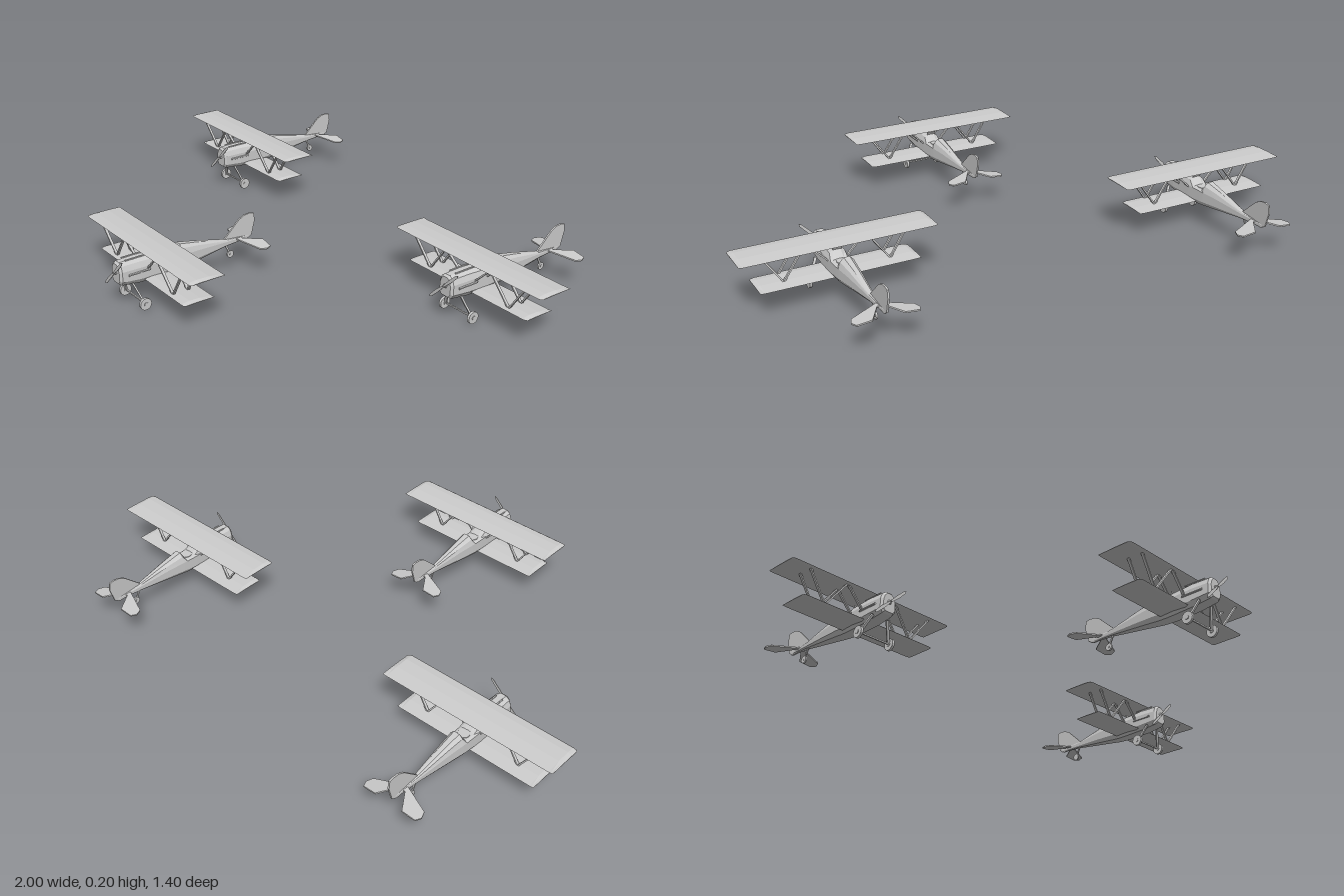
import * as THREE from 'three';

const mat = new THREE.MeshStandardMaterial({ color: 0xcccccc, flatShading: true, side: THREE.DoubleSide });

function add(parent, name, geometry, x = 0, y = 0, z = 0) {
  const mesh = new THREE.Mesh(geometry, mat);
  mesh.name = name;
  mesh.position.set(x, y, z);
  parent.add(mesh);
  return mesh;
}

// Skin through equal-length rings; rings run counterclockwise, from +z to -z
function loft(rings) {
  const pos = [], n = rings[0].length;
  const tri = (...p) => p.forEach((v) => pos.push(v.x, v.y, v.z));
  const cap = (ring, flip) => {
    const c = ring.reduce((s, v) => s.add(v), new THREE.Vector3()).divideScalar(n);
    ring.forEach((v, j) => {
      const w = ring[(j + 1) % n];
      flip ? tri(c, w, v) : tri(c, v, w);
    });
  };
  for (let i = 0; i < rings.length - 1; i++) {
    for (let j = 0; j < n; j++) {
      const k = (j + 1) % n;
      const a = rings[i][j], b = rings[i][k], c = rings[i + 1][k], d = rings[i + 1][j];
      tri(a, d, b);
      tri(d, c, b);
    }
  }
  cap(rings[0], false);
  cap(rings[rings.length - 1], true);
  const g = new THREE.BufferGeometry();
  g.setAttribute('position', new THREE.Float32BufferAttribute(pos, 3));
  g.computeVertexNormals();
  return g;
}

// Straight bar between two points
function beam(parent, name, a, b, width, depth) {
  const p = new THREE.Vector3(...a), q = new THREE.Vector3(...b);
  const mesh = add(parent, name, new THREE.BoxGeometry(width, p.distanceTo(q), depth));
  mesh.position.copy(p).add(q).multiplyScalar(0.5);
  mesh.quaternion.setFromUnitVectors(new THREE.Vector3(0, 1, 0), q.sub(p).normalize());
  return mesh;
}

function plate(points, depth) {
  const shape = new THREE.Shape(points.map(([x, y]) => new THREE.Vector2(x, y)));
  return new THREE.ExtrudeGeometry(shape, { depth, bevelEnabled: false }).translate(0, 0, -depth / 2);
}

function fuselage() {
  // z, half width, bottom, shoulder, top
  const stations = [
    [-0.010, 0.024, 0.094, 0.134, 0.160],
    [-0.018, 0.031, 0.088, 0.138, 0.167],
    [-0.085, 0.034, 0.080, 0.138, 0.168],
    [-0.170, 0.033, 0.077, 0.134, 0.162],
    [-0.195, 0.032, 0.077, 0.133, 0.139],
    [-0.234, 0.030, 0.079, 0.132, 0.138],
    [-0.249, 0.029, 0.081, 0.132, 0.167],
    [-0.320, 0.022, 0.089, 0.129, 0.153],
    [-0.436, 0.010, 0.102, 0.119, 0.126],
    [-0.535, 0.003, 0.107, 0.115, 0.118],
  ];
  return loft(stations.map(([z, w, b, s, t]) => {
    const half = [[0.65, b], [1, b + (s - b) * 0.3], [1, s], [0.78, s + (t - s) * 0.65], [0.35, t]];
    const other = half.map(([x, y]) => [-x, y]).reverse();
    return [...half, ...other].map(([x, y]) => new THREE.Vector3(x * w, y, z));
  }));
}

// Cambered wing with thin bevelled tips, lying along x, leading edge at z = 0
function wing(halfSpan, chord) {
  const profile = [[0, 0], [0.1, -0.003], [0.5, -0.001], [1, -0.002], [0.6, 0.005], [0.25, 0.007], [0.06, 0.005]];
  const tip = 0.015;
  const stations = [[halfSpan, 0.25, 0.06], [halfSpan - tip * 0.4, 0.6, 0.01], [halfSpan - tip, 1, 0]];
  const all = [...stations, ...stations.map(([x, t, c]) => [-x, t, c]).reverse()];
  return loft(all.map(([x, t, c]) => profile.map(([u, v]) =>
    new THREE.Vector3((c + u * (1 - c)) * chord, v * t, x)))).rotateY(Math.PI / 2);
}

function wheel(parent, name, x, y, z, r, width) {
  add(parent, name, new THREE.CylinderGeometry(r, r, width, 16).rotateZ(Math.PI / 2), x, y, z);
  add(parent, name + 'Hub', new THREE.CylinderGeometry(r * 0.35, r * 0.35, width * 1.5, 8).rotateZ(Math.PI / 2), x, y, z);
}

function createBiplane() {
  const plane = new THREE.Group();
  add(plane, 'fuselage', fuselage());
  add(plane, 'upperWing', wing(0.328, 0.13), 0, 0.191, -0.088);
  add(plane, 'lowerWing', wing(0.267, 0.115), 0, 0.089, -0.1);

  // Engine details and cockpit
  add(plane, 'spinner', new THREE.ConeGeometry(0.008, 0.012, 8).rotateX(Math.PI / 2), 0, 0.13, -0.004);
  const screen = add(plane, 'windscreen', new THREE.BoxGeometry(0.03, 0.018, 0.002), 0, 0.163, -0.172);
  screen.rotation.x = -0.5;
  const seat = new THREE.CylinderGeometry(0.02, 0.02, 0.003, 12);
  add(plane, 'cockpitRim', seat, 0, 0.138, -0.214);

  // Two-bladed propeller set on the diagonal
  const prop = new THREE.Group();
  prop.name = 'propeller';
  prop.position.set(0, 0.13, -0.003);
  prop.rotation.z = -Math.PI / 4;
  plane.add(prop);
  for (const s of [1, -1]) {
    const blade = add(prop, 'propellerBlade',
      plate([[-0.003, 0], [0.003, 0], [0.006, 0.04], [0.005, 0.078], [0, 0.086], [-0.004, 0.078], [-0.005, 0.04]], 0.002));
    blade.rotation.z = s > 0 ? 0 : Math.PI;
  }

  for (const s of [1, -1]) {
    // Two rows of W-shaped wing struts
    for (const z of [-0.11, -0.165]) {
      const low = [s * 0.178, 0.09, z - 0.006];
      beam(plane, 'outerStrut', low, [s * 0.25, 0.192, z + 0.004], 0.005, 0.009);
      beam(plane, 'innerStrut', low, [s * 0.102, 0.192, z + 0.004], 0.005, 0.009);
      beam(plane, 'cabaneStrut', [s * 0.028, 0.125, z - 0.004], [s * 0.098, 0.192, z + 0.004], 0.005, 0.009);
    }
    // Engine side pipe and top barrels
    add(plane, 'exhaustPipe', new THREE.CylinderGeometry(0.004, 0.004, 0.08, 6).rotateX(Math.PI / 2), s * 0.034, 0.123, -0.08);
    add(plane, 'cowlBarrel', new THREE.CylinderGeometry(0.003, 0.003, 0.08, 6).rotateX(Math.PI / 2), s * 0.013, 0.169, -0.08);
    // Main landing gear
    beam(plane, 'gearLeg', [s * 0.03, 0.09, -0.054], [s * 0.06, 0.022, -0.077], 0.006, 0.009);
    wheel(plane, 'mainWheel', s * 0.065, 0.021, -0.077, 0.021, 0.009);
    // Tailplane halves, drooping slightly
    const tail = add(plane, 'tailplane', plate([[0, 0.478], [s * 0.1, 0.515], [s * 0.109, 0.537],
      [s * 0.1, 0.557], [s * 0.052, 0.56], [s * 0.012, 0.5], [0, 0.5]], 0.005).rotateX(-Math.PI / 2), 0, 0.117, 0);
    tail.rotation.z = -s * 0.13;
  }
  beam(plane, 'axle', [-0.065, 0.022, -0.077], [0.065, 0.022, -0.077], 0.005, 0.005);

  // Fin with rudder
  add(plane, 'fin', plate([[0.425, 0.12], [0.495, 0.185], [0.518, 0.196], [0.54, 0.198], [0.557, 0.194],
    [0.56, 0.166], [0.546, 0.115], [0.525, 0.104], [0.45, 0.106]], 0.006).rotateY(Math.PI / 2));

  // Tail wheel
  beam(plane, 'tailWheelStrut', [0, 0.108, -0.436], [0, 0.066, -0.457], 0.004, 0.006);
  wheel(plane, 'tailWheel', 0, 0.065, -0.457, 0.013, 0.006);
  return plane;
}

export function createModel() {
  const model = new THREE.Group();
  model.name = 'biplaneFormation';
  const spots = [['leadBiplane', -0.037, 0.7], ['rightBiplane', -0.672, -0.14], ['leftBiplane', 0.672, -0.086]];
  for (const [name, x, z] of spots) {
    const plane = createBiplane();
    plane.name = name;
    plane.position.set(x, 0, z);
    model.add(plane);
  }
  return model;
}
